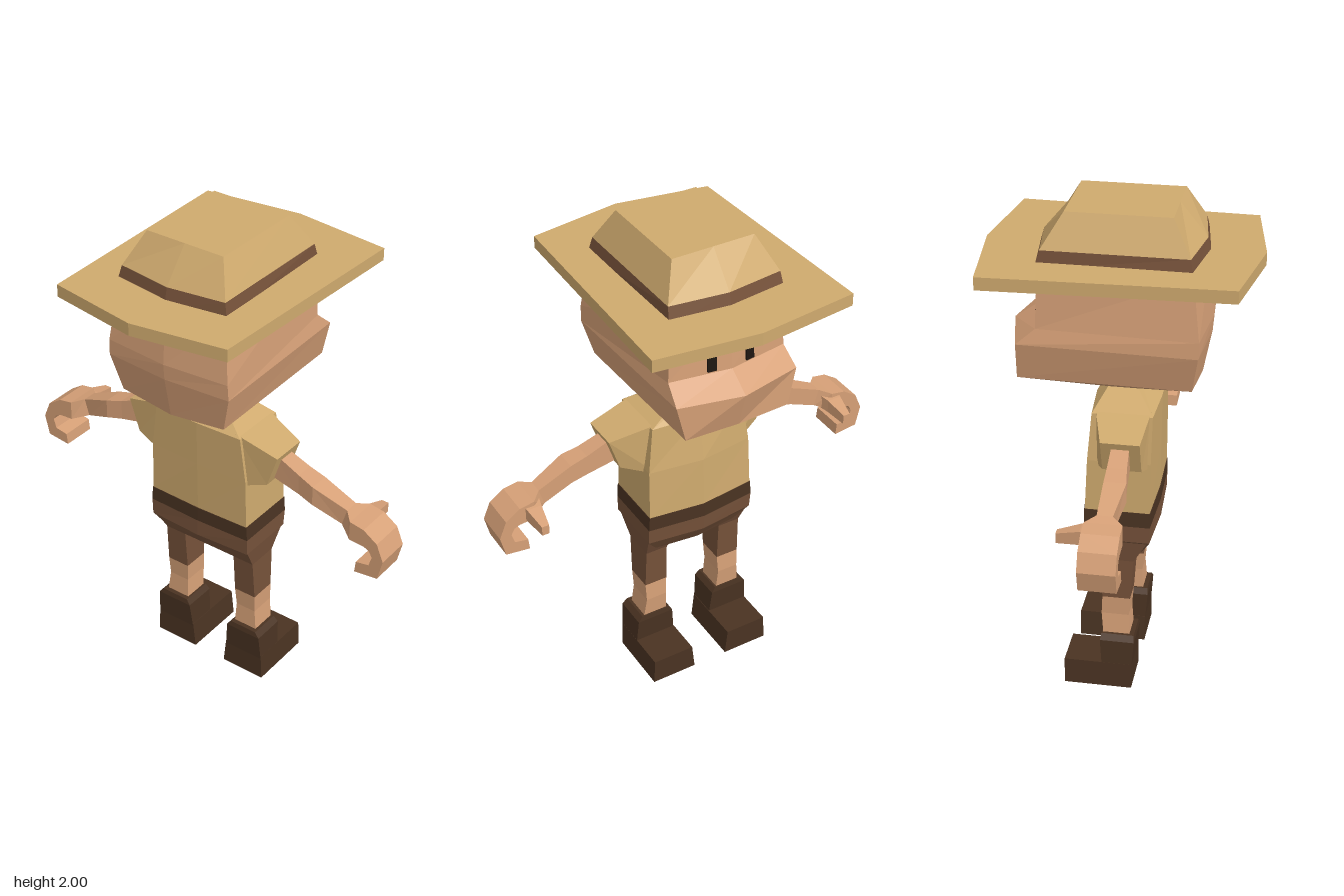
import * as THREE from 'three';

const mat = (name, color) => Object.assign(new THREE.MeshStandardMaterial({ color }), { name });

// Closed faceted solid through equal-length rings of points; flipped outward if needed.
function loft(rings) {
  const tris = [];
  const n = rings[0].length;
  for (let r = 0; r < rings.length - 1; r++) {
    for (let i = 0; i < n; i++) {
      const j = (i + 1) % n;
      const [a, b, c, d] = [rings[r][i], rings[r][j], rings[r + 1][j], rings[r + 1][i]];
      tris.push([a, b, c], [a, c, d]);
    }
  }
  const first = rings[0], last = rings[rings.length - 1];
  for (let i = 1; i < n - 1; i++) {
    tris.push([first[0], first[i + 1], first[i]], [last[0], last[i], last[i + 1]]);
  }
  const v = (p) => new THREE.Vector3(...p);
  const volume = tris.reduce((sum, [a, b, c]) => sum + v(a).dot(v(b).cross(v(c))), 0);
  if (volume < 0) tris.forEach((t) => t.reverse());
  const geometry = new THREE.BufferGeometry();
  geometry.setAttribute('position', new THREE.Float32BufferAttribute(tris.flat(2), 3));
  geometry.computeVertexNormals();
  return geometry;
}

// Six-sided level ring with ridges on the centre line, front and back.
const hexRing = ({ y, xb, xf = xb, zb, zbm = zb, zf, zfm = zf, ym = y }) => [
  [-xb, y, zb], [0, ym, zbm], [xb, y, zb], [xf, y, zf], [0, y, zfm], [-xf, y, zf],
];

// Level four-sided ring
const boxRing = (s, y, x0, x1, z0, z1) =>
  [[s * x0, y, z1], [s * x1, y, z1], [s * x1, y, z0], [s * x0, y, z0]];

// Four-sided ring across a limb, from its upper and lower outline points
const limbRing = (s, [tx, ty, bx, by, z0, z1]) =>
  [[s * tx, ty, z0], [s * tx, ty, z1], [s * bx, by, z1], [s * bx, by, z0]];

export function createModel() {
  const model = new THREE.Group();
  const tan = mat('tan cloth', 0xcfaa6e);
  const skin = mat('skin', 0xd6a077);
  const brown = mat('brown cloth', 0x76523a);
  const dark = mat('dark leather', 0x4a3322);
  const black = mat('eye black', 0x1e1611);

  const add = (name, geometry, material, parent = model) => {
    const mesh = new THREE.Mesh(geometry, material);
    mesh.name = name;
    parent.add(mesh);
    return mesh;
  };
  const addHex = (name, material, rings) => add(name, loft(rings.map(hexRing)), material);

  // Hat
  const brim = { xb: 0.38, xf: 0.412, zb: 0.46, zbm: 0.522, zf: -0.48, zfm: -0.53 };
  addHex('hatBrim', tan, [{ y: 1.775, ...brim }, { y: 1.825, ...brim }]);
  const bandTop = { y: 1.87, xb: 0.232, zb: 0.272, zbm: 0.305, zf: -0.28, zfm: -0.31 };
  addHex('hatBand', brown, [
    { y: 1.8, xb: 0.248, xf: 0.24, zb: 0.285, zbm: 0.322, zf: -0.3, zfm: -0.33 }, bandTop,
  ]);
  addHex('hatCrown', tan, [bandTop, { y: 2, xb: 0.17, zb: 0.2, zf: -0.2 }]);

  // Head with a jutting muzzle, narrowing into the neck
  addHex('head', skin, [
    { y: 1.265, xb: 0.07, zb: 0.05, zf: -0.055 },
    { y: 1.35, ym: 1.33, xb: 0.235, xf: 0.22, zb: 0.285, zbm: 0.297, zf: -0.38, zfm: -0.39 },
    { y: 1.5, xb: 0.275, xf: 0.255, zb: 0.31, zbm: 0.33, zf: -0.375, zfm: -0.432 },
    { y: 1.565, xb: 0.272, xf: 0.245, zb: 0.312, zbm: 0.335, zf: -0.3, zfm: -0.338 },
    { y: 1.8, xb: 0.243, xf: 0.235, zb: 0.285, zbm: 0.315, zf: -0.29, zfm: -0.32 },
  ]);

  // Shirt, belt and shorts
  addHex('shirt', tan, [
    { y: 0.805, xb: 0.23, zb: 0.13, zbm: 0.137, zf: -0.125, zfm: -0.153 },
    { y: 1.02, xb: 0.225, zb: 0.132, zbm: 0.14, zf: -0.115, zfm: -0.146 },
    { y: 1.21, xb: 0.2, zb: 0.135, zbm: 0.142, zf: -0.1, zfm: -0.115 },
    { y: 1.272, xb: 0.07, zb: 0.055, zf: -0.055 },
  ]);
  const beltLow = { y: 0.745, xb: 0.236, zb: 0.132, zbm: 0.14, zf: -0.127, zfm: -0.156 };
  addHex('belt', dark, [beltLow, { ...beltLow, y: 0.807, xb: 0.232 }]);
  addHex('shorts', brown, [
    { y: 0.6, xb: 0.18, zb: 0.09, zf: -0.08, zfm: -0.1 },
    { y: 0.675, xb: 0.235, zb: 0.13, zbm: 0.142, zf: -0.12, zfm: -0.15 },
    beltLow,
  ]);

  for (const s of [1, -1]) {
    const side = s > 0 ? 'left' : 'right';
    const arm = new THREE.Group();
    arm.name = side + 'Arm';
    const leg = new THREE.Group();
    leg.name = side + 'Leg';
    model.add(arm, leg);

    // Sleeve
    add('sleeve', loft([
      [0.17, 1.22, 0.17, 0.98, -0.09, 0.125],
      [0.355, 1.17, 0.31, 1.035, -0.04, 0.11],
    ].map((r) => limbRing(s, r))), tan, arm);

    // Arm running into a hooked hand
    add('armAndHand', loft([
      [0.3, 1.16, 0.29, 1.05, 0, 0.065],
      [0.43, 1.11, 0.43, 1.025, 0, 0.075],
      [0.5, 1.09, 0.5, 1.01, 0, 0.085],
      [0.64, 1.03, 0.62, 0.96, 0, 0.06],
      [0.68, 1.02, 0.68, 0.94, -0.04, 0.102],
      [0.74, 1.01, 0.745, 0.935, -0.04, 0.102],
      [0.8, 0.97, 0.768, 0.925, -0.04, 0.102],
      [0.83, 0.9, 0.782, 0.9, -0.04, 0.102],
      [0.81, 0.815, 0.77, 0.86, -0.04, 0.102],
      [0.71, 0.803, 0.715, 0.85, -0.04, 0.102],
    ].map((r) => limbRing(s, r))), skin, arm);

    // Thumb
    const thumbRing = (z, x0, x1, y0, y1) =>
      [[s * x0, y0, z], [s * x1, y0, z], [s * x1, y1, z], [s * x0, y1, z]];
    add('thumb', loft([
      thumbRing(0.03, 0.635, 0.73, 0.95, 1.01),
      thumbRing(-0.05, 0.655, 0.715, 0.945, 1.0),
      thumbRing(-0.14, 0.67, 0.7, 0.935, 0.975),
    ]), skin, arm);

    // Shorts leg, shin, boot cuff, boot shaft and foot
    add('shortsLeg', loft([
      boxRing(s, 0.4, 0.122, 0.22, -0.06, 0.052),
      boxRing(s, 0.575, 0.123, 0.217, -0.068, 0.065),
      boxRing(s, 0.67, 0.08, 0.23, -0.11, 0.12),
    ]), brown, leg);
    add('shin', loft([
      boxRing(s, 0.22, 0.122, 0.228, -0.055, 0.052),
      boxRing(s, 0.32, 0.127, 0.217, -0.064, 0.046),
      boxRing(s, 0.4, 0.122, 0.22, -0.06, 0.052),
    ]), skin, leg);
    add('bootShaft', loft([
      boxRing(s, 0.1, 0.088, 0.265, -0.057, 0.065),
      boxRing(s, 0.213, 0.098, 0.258, -0.065, 0.074),
      boxRing(s, 0.235, 0.115, 0.238, -0.062, 0.07),
    ]), dark, leg);
    add('foot', loft([
      boxRing(s, 0, 0.075, 0.27, -0.21, 0.065),
      boxRing(s, 0.11, 0.087, 0.265, -0.21, 0.065),
    ]), dark, leg);

    // Eye plate lying on the sloped face
    const eye = add(side + 'Eye', new THREE.BoxGeometry(0.035, 0.06, 0.009), black);
    eye.position.set(s * 0.08, 1.605, -0.327);
    eye.rotation.set(0.065, -s * 0.15, 0);
  }
  return model;
}
